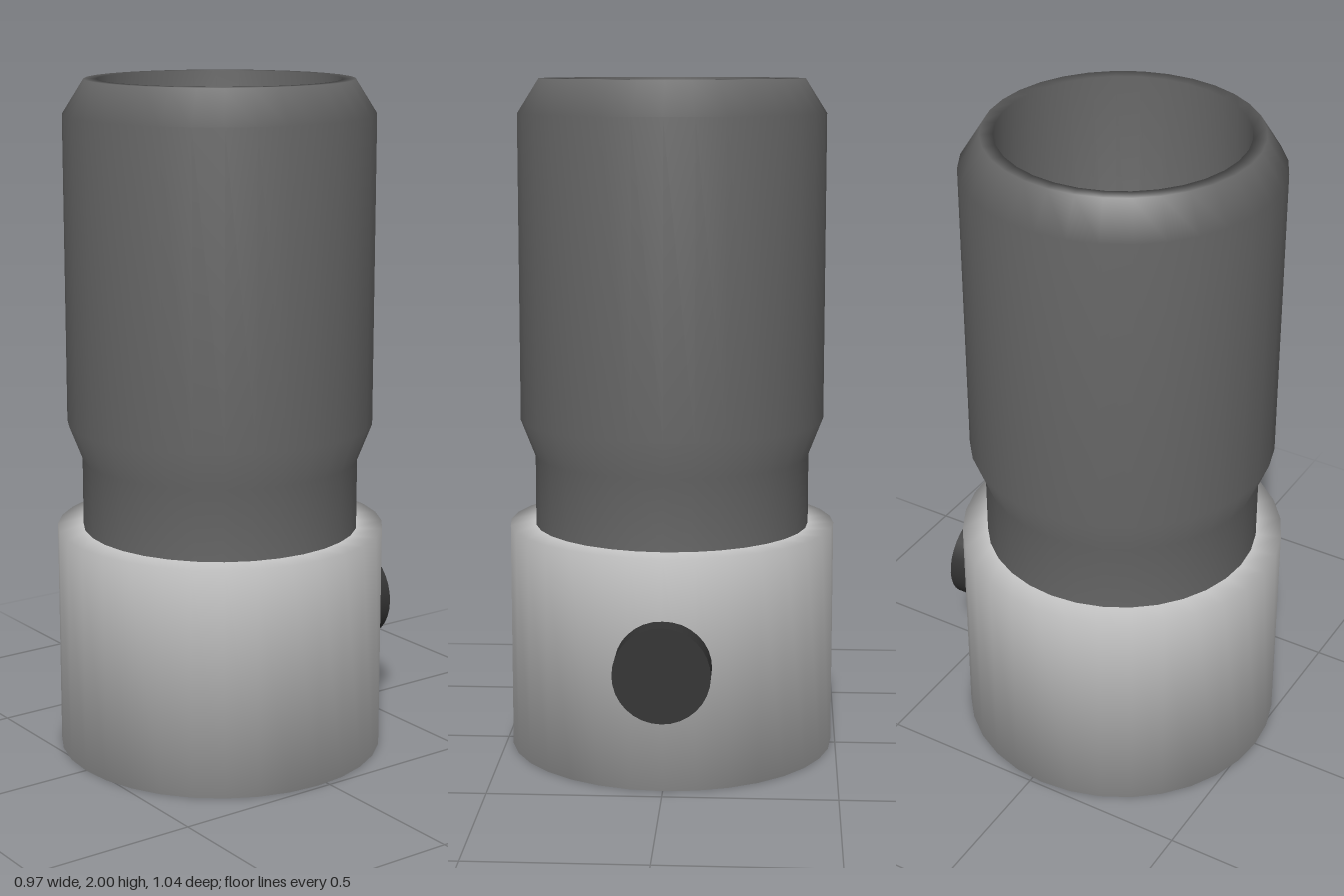
import * as THREE from 'three';

const AXIS_Z = 0.033; // main axis; the rear knob offsets the whole
const SIDES = 32;

const darkMaterial = new THREE.MeshStandardMaterial({ color: 0x666666 });
const lightMaterial = new THREE.MeshStandardMaterial({ color: 0xcccccc });
const knobMaterial = new THREE.MeshStandardMaterial({ color: 0x333333 });

// Smooth turned part from [radius, height] pairs
function turned(name, profile, material) {
  const points = profile.map(([r, y]) => new THREE.Vector2(r, y));
  const mesh = new THREE.Mesh(new THREE.LatheGeometry(points, SIDES), material);
  mesh.name = name;
  return mesh;
}

export function createModel() {
  const model = new THREE.Group();
  model.name = 'canister';
  const core = new THREE.Group();
  core.name = 'turnedParts';
  core.position.z = AXIS_Z;
  model.add(core);

  // Base: closed drum with softly shaded edges
  core.add(turned('base', [[0, 0], [0.487, 0], [0.487, 0.68], [0.4, 0.68]], lightMaterial));

  // Cup: neck, flared wall, bevelled rim, hollow inside down to the floor
  core.add(turned('cup', [
    [0.41, 0.66], [0.41, 0.89], [0.453, 1.0], [0.453, 1.9],
    [0.39, 2.0], [0.352, 2.0], [0.352, 0.75], [0, 0.75],
  ], darkMaterial));

  // Spindle on the cup floor
  const spindle = new THREE.Mesh(new THREE.CylinderGeometry(0.02, 0.02, 0.1, 16), darkMaterial);
  spindle.name = 'spindle';
  spindle.position.y = 0.79;
  core.add(spindle);
  const hub = new THREE.Mesh(new THREE.SphereGeometry(0.033, 20, 12), darkMaterial);
  hub.name = 'hub';
  hub.position.y = 0.84;
  core.add(hub);

  // Two upright thin blades reaching out from the hub
  for (const [x, z, thickness] of [[-0.167, -0.203, 0.004], [0.193, 0.235, 0.007]]) {
    const length = Math.hypot(x, z);
    const blade = new THREE.Mesh(new THREE.BoxGeometry(thickness, 0.04, length), darkMaterial);
    blade.name = 'blade';
    blade.position.set(x / 2, 0.84, z / 2);
    blade.rotation.y = Math.atan2(x, z);
    core.add(blade);
  }

  // Round knob at the back of the base
  const knob = new THREE.Mesh(new THREE.CylinderGeometry(0.139, 0.139, 0.12, SIDES), knobMaterial);
  knob.name = 'knob';
  knob.rotation.x = Math.PI / 2;
  knob.position.set(0, 0.36, -0.463);
  model.add(knob);

  return model;
}
